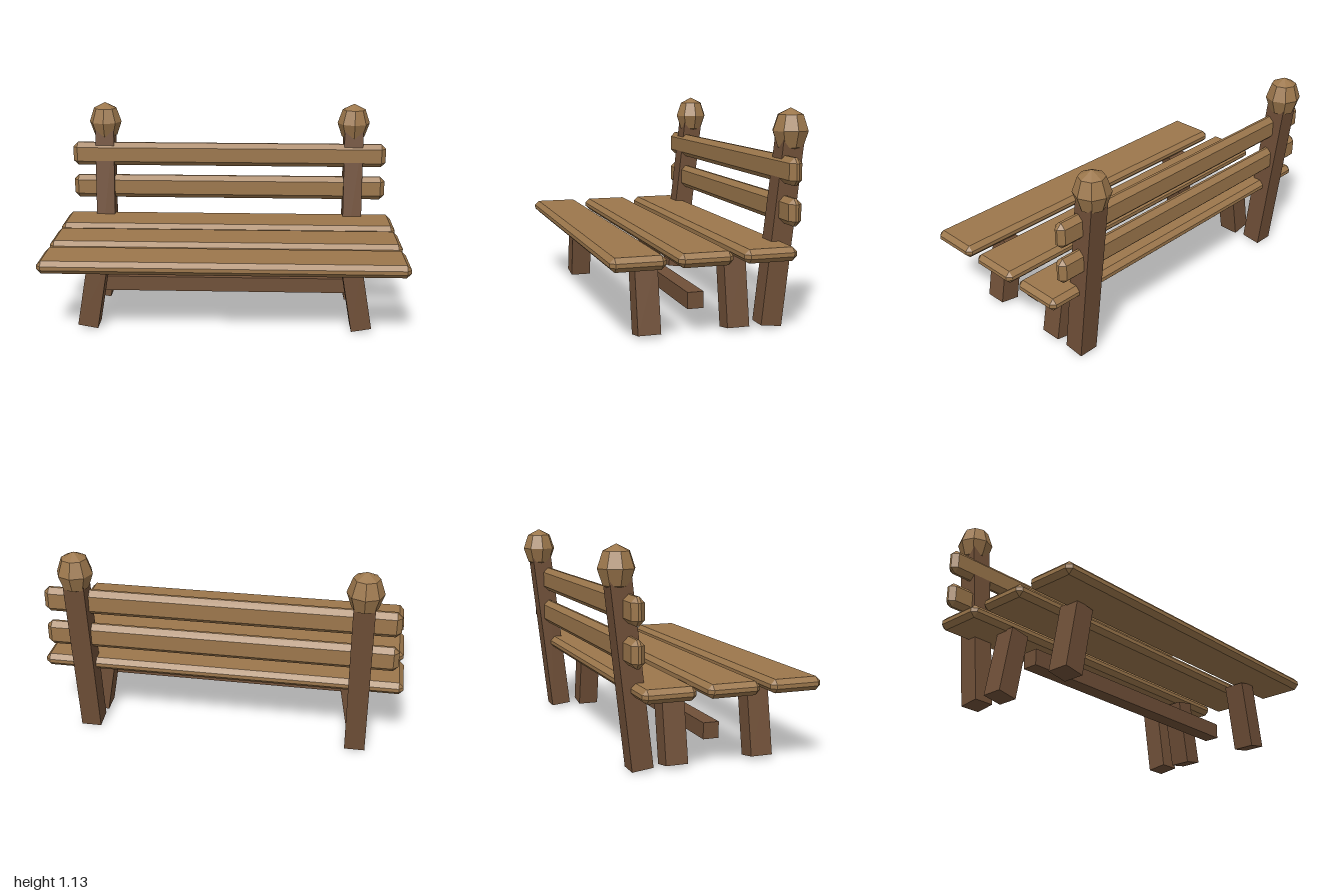
import * as THREE from 'three';
import { ConvexGeometry } from 'three/addons/geometries/ConvexGeometry.js';

const lightWood = new THREE.MeshStandardMaterial({ color: 0x9c774c, flatShading: true });
const darkWood = new THREE.MeshStandardMaterial({ color: 0x705038, flatShading: true });

// Box with every edge and corner chamfered by b
function chamferBox(w, h, d, b) {
  const points = [];
  for (const sx of [-1, 1]) for (const sy of [-1, 1]) for (const sz of [-1, 1]) {
    for (let full = 0; full < 3; full++) {
      const [x, y, z] = [w, h, d].map((size, axis) => size / 2 - (axis === full ? 0 : b));
      points.push(new THREE.Vector3(sx * x, sy * y, sz * z));
    }
  }
  return new THREE.BufferGeometry().copy(new ConvexGeometry(points));
}

export function createModel() {
  const bench = new THREE.Group();
  bench.name = 'bench';

  const add = (name, geometry, material, x, y, z) => {
    const mesh = new THREE.Mesh(geometry, material);
    mesh.name = name;
    mesh.position.set(x, y, z);
    bench.add(mesh);
    return mesh;
  };

  // Three seat planks
  const plank = chamferBox(2, 0.071, 0.282, 0.025);
  for (const z of [0.418, 0.076, -0.265]) add('seatPlank', plank, lightWood, 0, 0.42, z);

  // Two backrest rails
  const rail = chamferBox(1.92, 0.142, 0.07, 0.028);
  for (const y of [0.619, 0.824]) add('backRail', rail, lightWood, 0, y, -0.41);

  // Stretcher under the seat
  add('stretcher', new THREE.BoxGeometry(1.52, 0.087, 0.087), darkWood, 0, 0.164, 0.052);

  // Origin at the bottom centre so legs and posts lean from their feet
  const legGeometry = new THREE.BoxGeometry(0.113, 0.379, 0.12).translate(0, 0.1895, 0);
  const postGeometry = new THREE.BoxGeometry(0.113, 0.97, 0.114).translate(0, 0.485, 0);
  const knobGeometry = new THREE.SphereGeometry(1, 8, 4).scale(0.098, 0.118, 0.098);

  for (const side of [-1, 1]) {
    // Splayed legs
    for (const [name, z] of [['frontLeg', 0.315], ['rearLeg', -0.16]]) {
      add(name, legGeometry, darkWood, side * 0.765, 0.01, z).rotation.z = side * THREE.MathUtils.degToRad(10);
    }
    // Back post leaning rearward, topped by a faceted knob
    add('backPost', postGeometry, darkWood, side * 0.762, 0.012, -0.343).rotation.x = -THREE.MathUtils.degToRad(6.6);
    add('postKnob', knobGeometry, lightWood, side * 0.762, 1.017, -0.458);
  }
  return bench;
}
